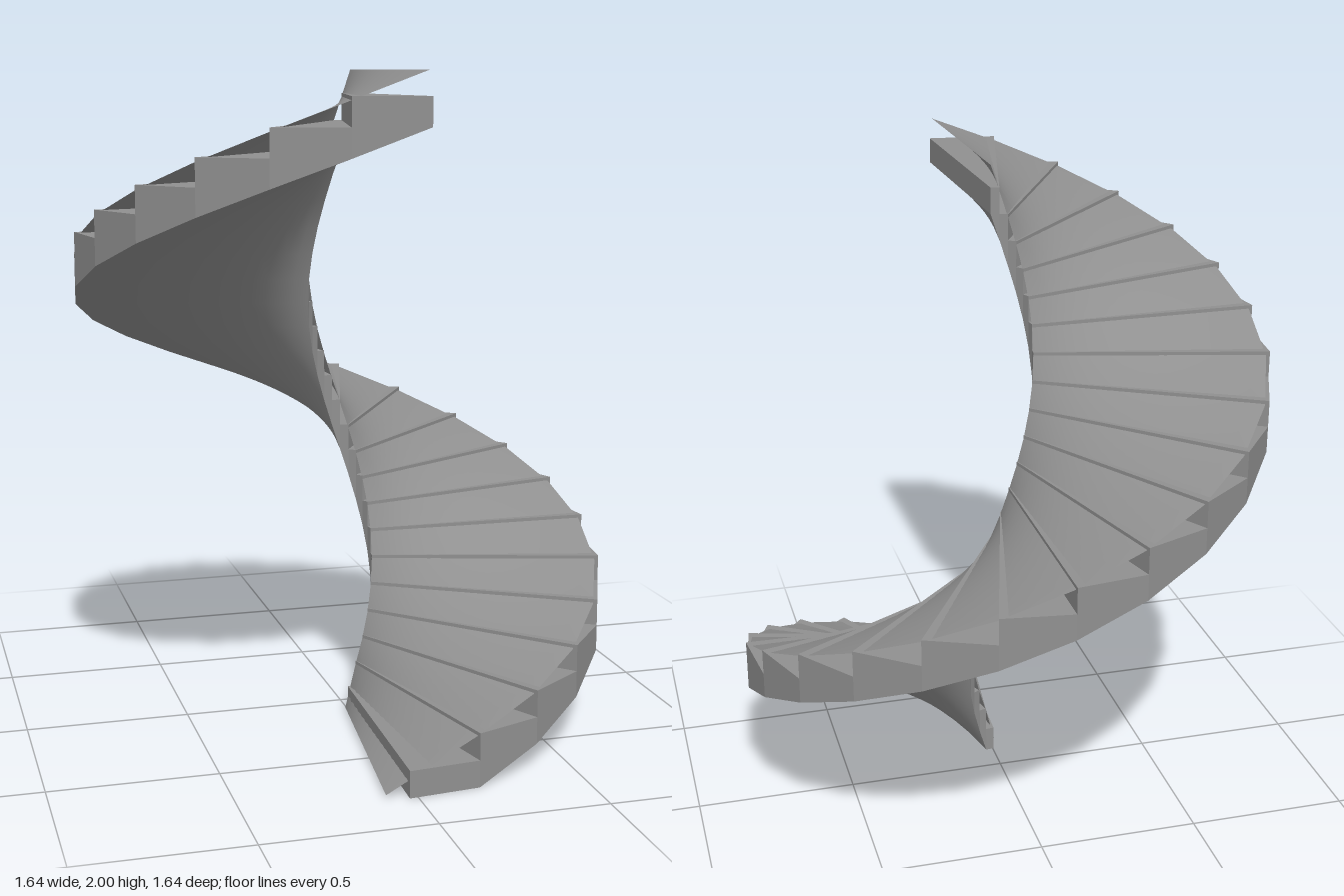
import * as THREE from 'three';

const STEPS = 24;
const RISE = 0.0805;
const INNER = 0.1;
const OUTER = 0.818;
const deg = THREE.MathUtils.degToRad;
const START = deg(-1.75);
const PITCH = deg(363.5) / STEPS;

const material = new THREE.MeshStandardMaterial({ color: 0x909090 });
const sheetMaterial = new THREE.MeshStandardMaterial({ color: 0x909090, side: THREE.DoubleSide });

// angle 0 is the front, growing towards +x
const polar = (r, a, y) => [r * Math.sin(a), y, r * Math.cos(a)];

// flat-faced geometry from quads, corners counter-clockwise
function quads(list) {
  const pos = [];
  for (const [a, b, c, d] of list) pos.push(...a, ...b, ...c, ...a, ...c, ...d);
  const g = new THREE.BufferGeometry();
  g.setAttribute('position', new THREE.Float32BufferAttribute(pos, 3));
  g.computeVertexNormals();
  return g;
}

// smooth winding surface through radial lines given as [angle, height]
function helicoid(lines, r0, r1, facesUp) {
  const radial = 16, row = radial + 1;
  const pos = [], index = [];
  lines.forEach(([a, y], i) => {
    for (let j = 0; j <= radial; j++) pos.push(...polar(r0 + (r1 - r0) * j / radial, a, y));
    if (i === 0) return;
    for (let j = 0; j < radial; j++) {
      const p = (i - 1) * row + j, q = i * row + j;
      if (facesUp) index.push(p + 1, q + 1, q, p + 1, q, p);
      else index.push(p, q, q + 1, p, q + 1, p + 1);
    }
  });
  const g = new THREE.BufferGeometry();
  g.setAttribute('position', new THREE.Float32BufferAttribute(pos, 3));
  g.setIndex(index);
  g.computeVertexNormals();
  return g;
}

export function createModel() {
  const group = new THREE.Group();
  const add = (name, geometry, mat = material) => {
    const mesh = new THREE.Mesh(geometry, mat);
    mesh.name = name;
    group.add(mesh);
  };
  const angle = (i) => START + i * PITCH;
  const bottom = (i) => Math.max(0, i - 1) * RISE;

  // steps: tread, riser, outer and inner walls
  for (let i = 0; i < STEPS; i++) {
    const a = angle(i), b = angle(i + 1);
    const top = (i + 1) * RISE, low = i * RISE;
    const faces = [
      [polar(OUTER, a, top), polar(OUTER, b, top), polar(INNER, b, top), polar(INNER, a, top)],
      [polar(INNER, a, low), polar(OUTER, a, low), polar(OUTER, a, top), polar(INNER, a, top)],
      [polar(OUTER, a, bottom(i)), polar(OUTER, b, bottom(i + 1)), polar(OUTER, b, top), polar(OUTER, a, top)],
      [polar(INNER, b, bottom(i + 1)), polar(INNER, a, bottom(i)), polar(INNER, a, top), polar(INNER, b, top)],
    ];
    add('step' + (i + 1), quads(faces));
  }

  // upright face closing the top of the flight
  const e = angle(STEPS), eLow = bottom(STEPS), eTop = STEPS * RISE;
  add('endFace', quads([
    [polar(OUTER, e, eLow), polar(INNER, e, eLow), polar(INNER, e, eTop), polar(OUTER, e, eTop)],
  ]));

  // sloping underside, flat below the first step
  const under = [];
  for (let i = 0; i <= STEPS; i++) under.push([angle(i), bottom(i)]);
  add('underside', helicoid(under, INNER, OUTER, false));

  // thin ramp just below the step edges, with a longer, steeper piece at the foot
  const ramp = [[deg(-6.4), 0.01]];
  for (let i = 1; i <= STEPS; i++) ramp.push([angle(i) - deg(0.35), 2 - (STEPS - i) * RISE]);
  add('rampSheet', helicoid(ramp, INNER, 0.806, true), sheetMaterial);

  return group;
}
